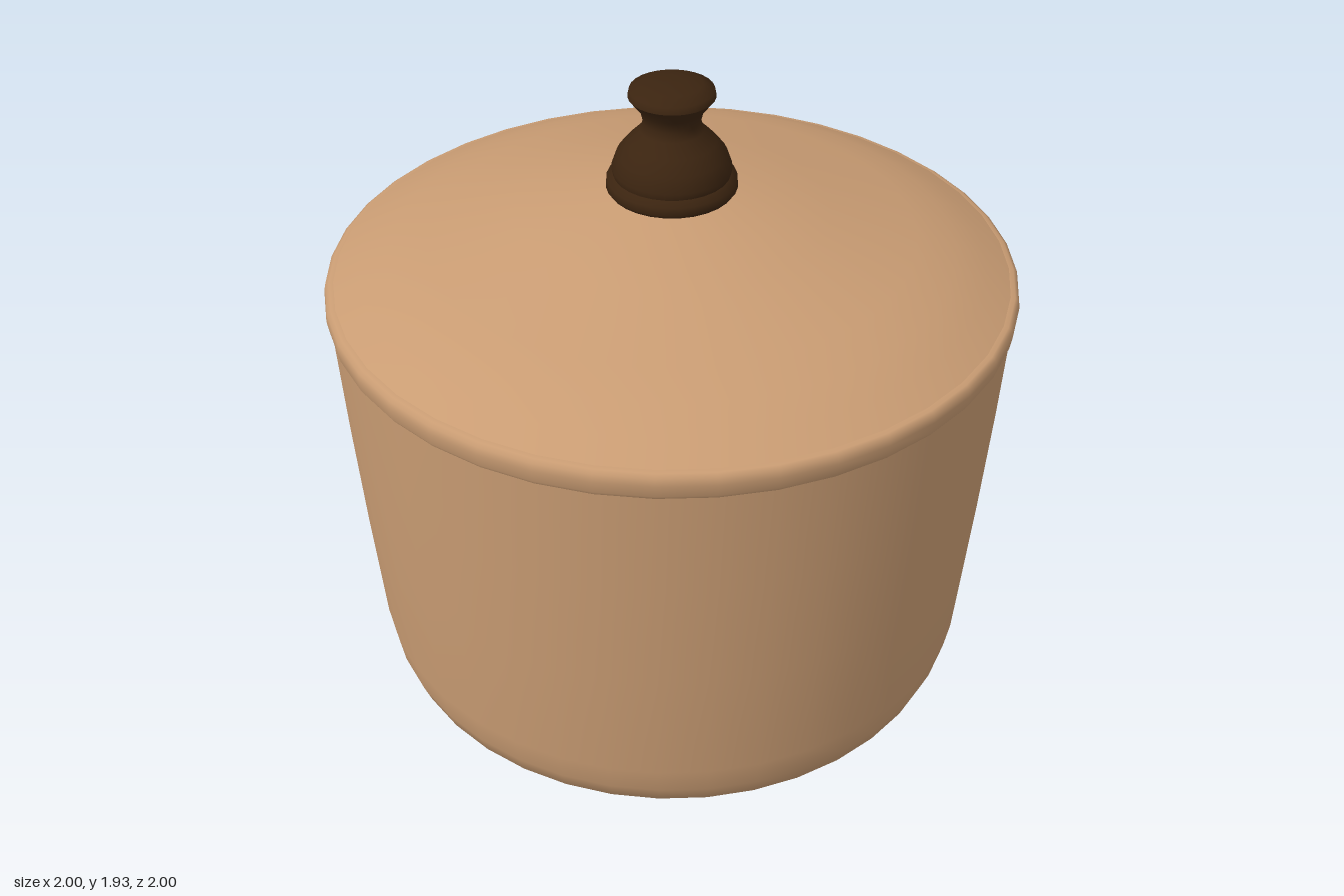
import * as THREE from 'three';

const clay = new THREE.MeshStandardMaterial({ color: 0xc99c73 });
clay.name = 'tan enamel';
const wood = new THREE.MeshStandardMaterial({ color: 0x3b2410 });
wood.name = 'dark wood';

// Turned part from a profile of [radius, height] points, bottom to top
function turned(name, profile, material, segments) {
  const points = profile.map(([r, y]) => new THREE.Vector2(r, y));
  const mesh = new THREE.Mesh(new THREE.LatheGeometry(points, segments), material);
  mesh.name = name;
  return mesh;
}

export function createModel() {
  const model = new THREE.Group();
  model.name = 'lidded pot';

  // Slightly tapered body with a rounded lower edge
  model.add(turned('potBase', [[0, 0.005], [0.4, 0.008], [0.78, 0.017]], clay, 40));
  model.add(turned('potBody', [
    [0.78, 0.017], [0.85, 0.035], [0.89, 0.07], [0.912, 0.13], [0.927, 0.22],
    [0.953, 0.6], [0.973, 0.95], [0.988, 1.28],
  ], clay, 40));

  // Rim band where the lid meets the pot
  model.add(turned('lidRim', [
    [0.986, 1.275], [0.995, 1.29], [1.0, 1.325], [0.996, 1.347], [0.985, 1.355], [0.97, 1.357],
  ], clay, 40));

  // Shallow conical lid, curving down near its edge
  model.add(turned('lid', [
    [0.972, 1.357], [0.9, 1.395], [0.81, 1.436], [0.7, 1.47], [0.45, 1.536], [0.18, 1.604], [0, 1.608],
  ], clay, 40));

  // Knob: foot ring, swelling, narrow neck and flared cap
  const knob = new THREE.Group();
  knob.name = 'knob';
  knob.add(turned('knobFoot', [
    [0, 1.602], [0.178, 1.602], [0.187, 1.615], [0.185, 1.638], [0.166, 1.652],
  ], wood, 28));
  knob.add(turned('knobStem', [
    [0.166, 1.652], [0.17, 1.672], [0.155, 1.715], [0.125, 1.752], [0.09, 1.787],
    [0.08, 1.812], [0.088, 1.845], [0.122, 1.888],
  ], wood, 28));
  knob.add(turned('knobCap', [
    [0.122, 1.888], [0.118, 1.908], [0.085, 1.924], [0.04, 1.93], [0, 1.931],
  ], wood, 28));
  model.add(knob);

  return model;
}
